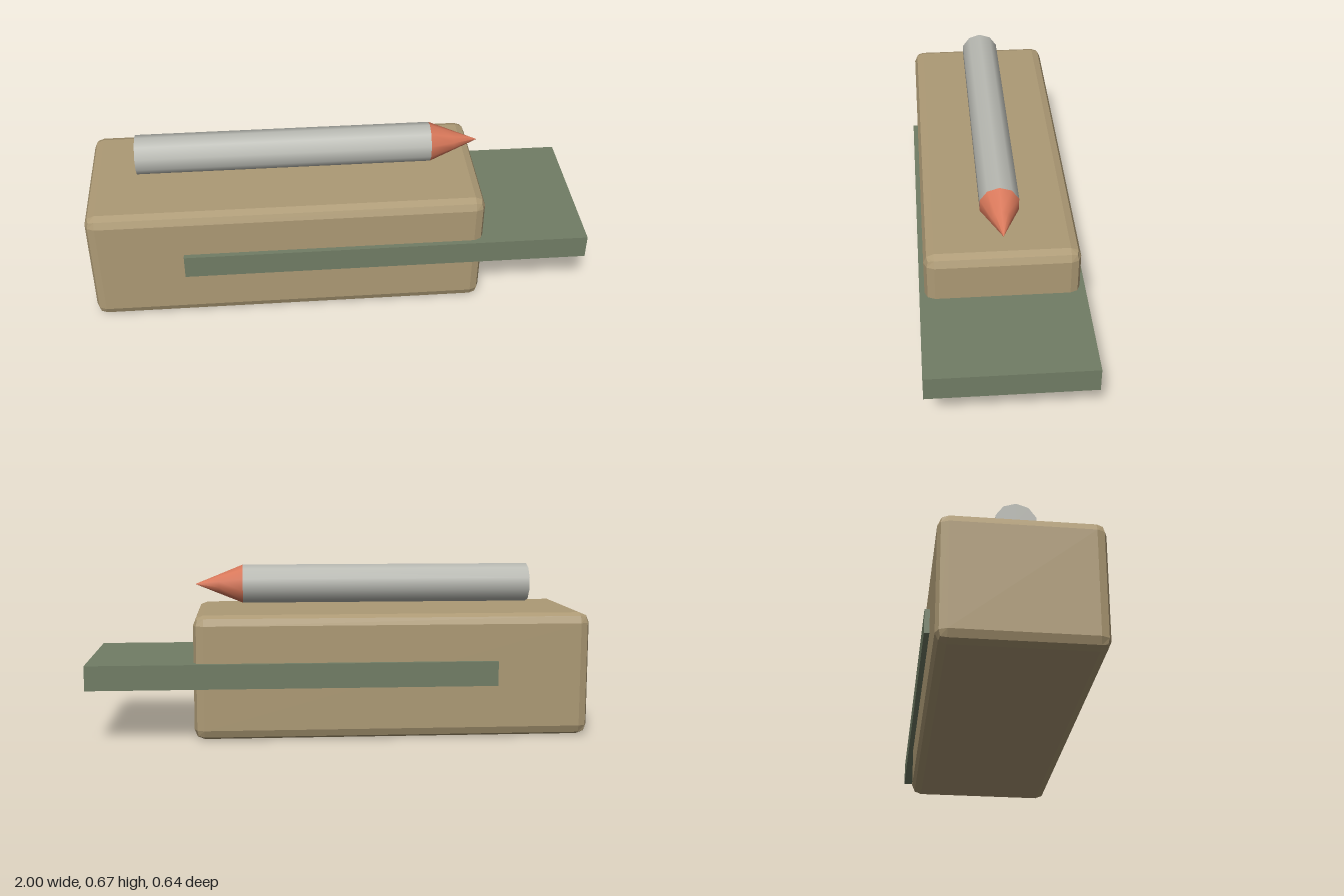
import * as THREE from 'three';
import { RoundedBoxGeometry } from 'three/addons/geometries/RoundedBoxGeometry.js';

const SIDES = 10;

function addPart(group, name, geometry, color, position, flatShading = false) {
  const material = new THREE.MeshStandardMaterial({ color, flatShading });
  const mesh = new THREE.Mesh(geometry, material);
  mesh.name = name;
  mesh.position.set(...position);
  group.add(mesh);
  return mesh;
}

// Turns a y-axis solid so that it points along +x, with a flat side on top
function alongX(geometry) {
  return geometry.rotateY(Math.PI / 2).rotateZ(-Math.PI / 2);
}

export function createModel() {
  const model = new THREE.Group();
  model.name = 'model';

  // Block with two-step bevelled edges
  addPart(model, 'body', new RoundedBoxGeometry(1.58, 0.495, 0.596, 1, 0.04),
    0xad9a75, [-0.21, 0.2475, 0], true);

  // Flat slab running through the block and out past its end
  addPart(model, 'slab', new THREE.BoxGeometry(1.625, 0.098, 0.636),
    0x717d65, [0.1875, 0.259, 0], true);

  // Rod floating above the block
  addPart(model, 'rod', alongX(new THREE.CylinderGeometry(0.079, 0.079, 1.185, SIDES)),
    0xb9bab3, [-0.2075, 0.595, 0]);

  // Pointed tip of the rod
  addPart(model, 'rodTip', alongX(new THREE.ConeGeometry(0.079, 0.195, SIDES, 2)),
    0xd9785a, [0.4825, 0.595, 0]);

  return model;
}
